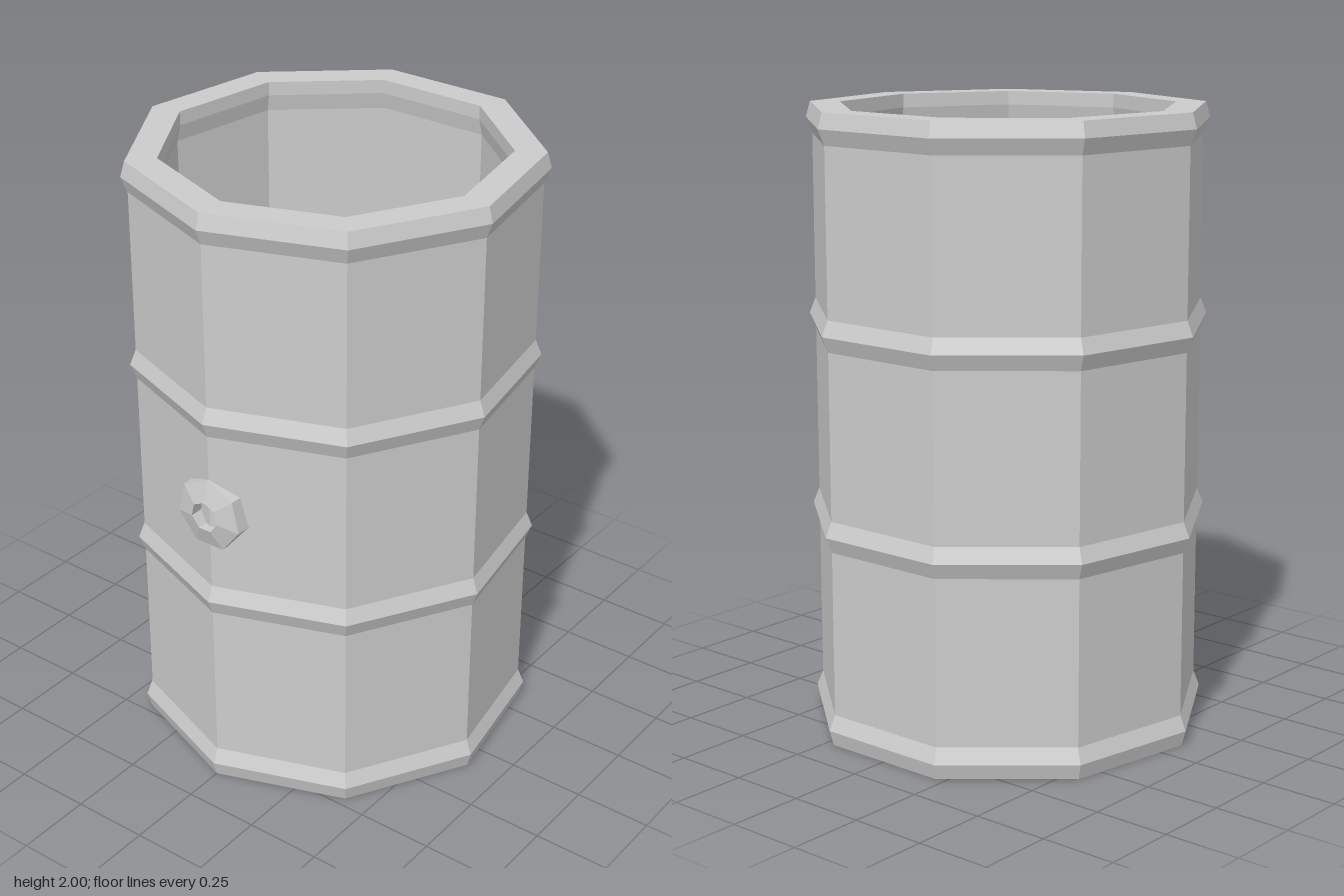
import * as THREE from 'three';

const WALL = 0.632, RIDGE = 0.652, RIM = 0.638, INNER = 0.54;
const CENTRE_Z = -0.02;

// Revolve a profile of [radius, height] pairs into a faceted solid
function revolve(name, profile, sides, material) {
  const points = profile.map(([r, y]) => new THREE.Vector2(r, y));
  const mesh = new THREE.Mesh(new THREE.LatheGeometry(points, sides), material);
  mesh.name = name;
  return mesh;
}

// V-shaped hoop pressed out of the wall at height y
const hoop = (y) => [[WALL, y - 0.05], [RIDGE, y], [WALL, y + 0.05]];

export function createModel() {
  const group = new THREE.Group();
  group.name = 'barrel';
  const material = new THREE.MeshStandardMaterial({ color: 0xcccccc, flatShading: true });

  // Nine-sided open drum: recessed base, rims, two hoops and hollow inside
  const drum = revolve('drum', [
    [0, 0.04], [INNER, 0.04], [INNER, 0],
    [RIM, 0], [RIDGE, 0.05], [WALL, 0.1],
    ...hoop(0.685), ...hoop(1.32),
    [WALL, 1.9], [RIDGE, 1.95], [RIM, 2],
    [INNER, 2], [INNER, 1.955], [INNER + 0.012, 1.9],
    [INNER + 0.012, 0.07], [0, 0.07],
  ], 9, material);
  drum.position.z = CENTRE_Z;
  group.add(drum);

  // Seven-sided spout ring on the front corner, with a hole through it
  const spout = revolve('spoutRing', [
    [0.12, 0.55], [0.12, 0.617], [0.05, 0.638], [0.05, 0.55],
  ], 7, material);
  spout.geometry.rotateY(Math.PI).rotateX(Math.PI / 2);
  spout.position.y = 1;
  group.add(spout);

  return group;
}
